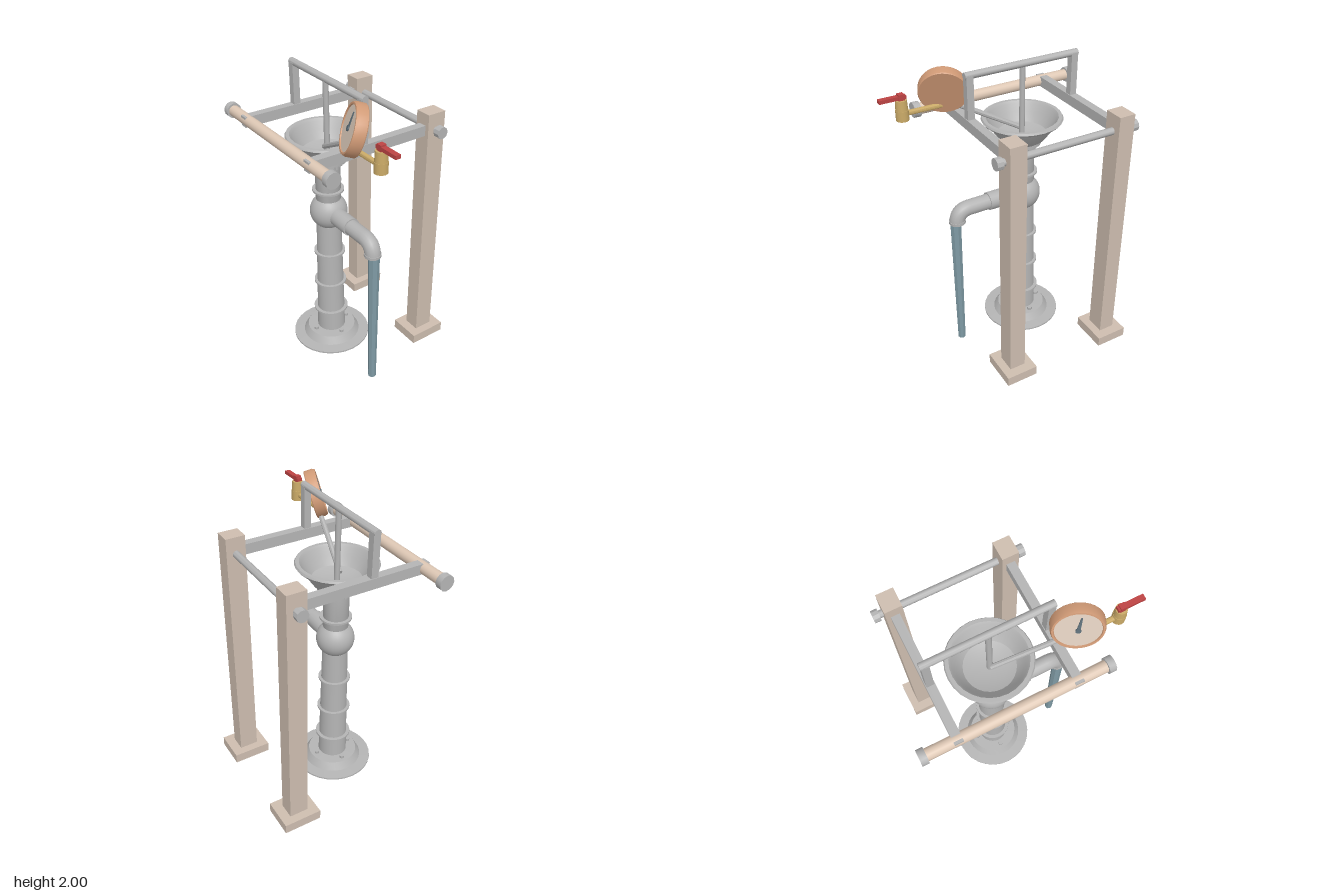
import * as THREE from 'three';
import { toCreasedNormals } from 'three/addons/utils/BufferGeometryUtils.js';

const V = (x, y, z) => new THREE.Vector3(x, y, z);

function makeMaterial(name, color, extra = {}) {
  const m = new THREE.MeshStandardMaterial({ color, ...extra });
  m.name = name;
  return m;
}

export function createModel() {
  const root = new THREE.Group();
  root.name = 'waterPump';
  const metal = makeMaterial('grey metal', 0xb4b4b4, { side: THREE.DoubleSide });
  const wood = makeMaterial('pale wood', 0xcdbdaf);
  const roller = makeMaterial('roller wood', 0xdec8b5);
  const copper = makeMaterial('copper', 0xd09a76);
  const dial = makeMaterial('dial face', 0xdccbbb);
  const brass = makeMaterial('brass', 0xcbab68);
  const red = makeMaterial('red paint', 0xbd4444);
  const hoseBlue = makeMaterial('hose blue', 0x7f9aa4);
  const dark = makeMaterial('needle slate', 0x5c6c76);

  const add = (name, geo, mat, pos = [0, 0, 0], parent = root) => {
    const mesh = new THREE.Mesh(geo, mat);
    mesh.name = name;
    mesh.position.set(...pos);
    parent.add(mesh);
    return mesh;
  };
  const crease = (geo, angle = 0.6) => toCreasedNormals(geo, angle);
  const box = (name, size, pos, mat, parent) => add(name, new THREE.BoxGeometry(...size), mat, pos, parent);
  const lathe = (name, pts, mat, pos, parent, seg = 28) =>
    add(name, crease(new THREE.LatheGeometry(pts.map(p => new THREE.Vector2(...p)), seg)), mat, pos, parent);
  const cyl = (name, r0, r1, h, pos, mat, parent, seg = 16) =>
    add(name, new THREE.CylinderGeometry(r1, r0, h, seg), mat, pos, parent);
  // Cylinder running between two points
  const rod = (name, a, b, r, mat, seg = 12, parent = root) => {
    const d = b.clone().sub(a);
    const geo = crease(new THREE.CylinderGeometry(r, r, d.length(), seg));
    const mesh = add(name, geo, mat, a.clone().add(b).multiplyScalar(0.5).toArray(), parent);
    mesh.quaternion.setFromUnitVectors(V(0, 1, 0), d.normalize());
    return mesh;
  };

  // Posts with feet, side arms and handle uprights
  const sides = [['right', -0.5], ['left', 0.222]];
  for (const [side, x] of sides) {
    box(side + 'Post', [0.107, 1.7, 0.125], [x, 0.915, -0.387], wood);
    box(side + 'Foot', [0.215, 0.066, 0.252], [x, 0.098, -0.387], wood);
    box(side + 'Arm', [0.054, 0.066, 0.87], [x, 1.657, 0.055], metal);
    box(side + 'Upright', [0.045, 0.28, 0.045], [x, 1.82, 0.117], metal);
  }
  rod('handleBar', V(-0.527, 1.958, 0.117), V(0.249, 1.958, 0.117), 0.022, metal);

  // Rear axle and front roller, each with end caps
  rod('rearAxle', V(-0.6, 1.657, -0.387), V(0.32, 1.657, -0.387), 0.023, metal);
  rod('axleCap', V(-0.615, 1.657, -0.387), V(-0.577, 1.657, -0.387), 0.038, metal, 10);
  rod('axleCap', V(0.295, 1.657, -0.387), V(0.335, 1.657, -0.387), 0.038, metal, 10);
  rod('frontRoller', V(-0.69, 1.657, 0.46), V(0.41, 1.657, 0.46), 0.036, roller, 16);
  rod('rollerCap', V(-0.722, 1.657, 0.46), V(-0.68, 1.657, 0.46), 0.049, metal, 12);
  rod('rollerCap', V(0.4, 1.657, 0.46), V(0.443, 1.657, 0.46), 0.049, metal, 12);

  // Pump, built around its own vertical axis
  const pump = new THREE.Group();
  pump.name = 'pump';
  pump.position.set(-0.14, 0, 0.12);
  root.add(pump);
  lathe('baseFlange', [[0.185, 0.065], [0.265, 0.065], [0.265, 0.076], [0.195, 0.08], [0.165, 0.13], [0.09, 0.132]],
    metal, [0, 0, 0], pump);
  const bulb = [];
  for (let i = 0; i <= 12; i++) {
    const t = -0.855 + (1.71 * i) / 12;
    bulb.push([0.122 * Math.cos(t), 1.075 + 0.122 * Math.sin(t)]);
  }
  lathe('column', [[0.097, 0.13], [0.082, 0.983], ...bulb, [0.081, 1.17], [0.081, 1.43]], metal, [0, 0, 0], pump);
  for (const [y, r] of [[0.29, 0.117], [0.52, 0.109], [0.763, 0.104], [1.233, 0.102]])
    cyl('columnRing', r, r, 0.012, [0, y, 0], metal, pump, 28);
  cyl('neckCollar', 0.1, 0.1, 0.03, [0, 1.432, 0], metal, pump, 24);
  cyl('neckFlange', 0.122, 0.122, 0.022, [0, 1.451, 0], metal, pump, 24);
  for (let i = 0; i < 4; i++) {
    const a = (i * Math.PI) / 2, c = Math.cos(a), s = Math.sin(a);
    cyl('baseBolt', 0.017, 0.017, 0.022, [c * 0.127, 0.138, s * 0.127], metal, pump, 6);
    cyl('neckBolt', 0.016, 0.016, 0.03, [c * 0.1, 1.43, s * 0.1], metal, pump, 6);
  }

  // Funnel: outer wall, rolled rim and inner bowl
  lathe('funnel', [[0, 1.462], [0.122, 1.462], [0.15, 1.482], [0.222, 1.585], [0.246, 1.594], [0.257, 1.608],
    [0.25, 1.62], [0.228, 1.62], [0.216, 1.605], [0.195, 1.56], [0.155, 1.505], [0.1, 1.486], [0, 1.482]],
    metal, [0, 0, 0], pump);
  cyl('pumpRod', 0.018, 0.018, 0.46, [0, 1.72, 0], metal, pump, 10);

  // Spout with elbow and hanging hose
  rod('spoutSleeve', V(-0.08, 1.072, 0.12), V(0.115, 1.072, 0.12), 0.059, metal, 20);
  const bend = new THREE.CurvePath();
  bend.add(new THREE.LineCurve3(V(0.05, 1.072, 0.12), V(0.25, 1.072, 0.12)));
  bend.add(new THREE.CubicBezierCurve3(V(0.25, 1.072, 0.12), V(0.3, 1.072, 0.12), V(0.333, 1.05, 0.12), V(0.338, 0.995, 0.12)));
  add('spoutElbow', new THREE.TubeGeometry(bend, 28, 0.051, 16), metal);
  rod('spoutLip', V(0.338, 1.004, 0.12), V(0.337, 0.985, 0.12), 0.054, metal, 20);
  add('hose', crease(new THREE.CylinderGeometry(0.037, 0.027, 0.99, 8), 0.3), hoseBlue, [0.35, 0.495, 0.12]);

  // Lever from the pump rod to the gauge
  rod('gaugeLever', V(-0.14, 1.535, 0.14), V(0.29, 1.765, 0.245), 0.016, metal, 8);

  // Tilted round gauge
  const gauge = new THREE.Group();
  gauge.name = 'gauge';
  gauge.position.set(0.322, 1.847, 0.247);
  gauge.lookAt(gauge.position.clone().add(V(-0.42, 0.3, 0.86)));
  root.add(gauge);
  const shell = lathe('gaugeCase', [[0, -0.035], [0.146, -0.035], [0.15, -0.03], [0.15, 0.018], [0.143, 0.035],
    [0.132, 0.035], [0.129, 0.026], [0, 0.026]], copper, [0, 0, 0], gauge, 32);
  shell.rotation.x = Math.PI / 2;
  add('gaugeFace', new THREE.CircleGeometry(0.129, 32), dial, [0, 0, 0.0285], gauge);
  const pointer = new THREE.Shape([[-0.012, -0.01], [0.012, -0.01], [0.004, 0.1], [-0.004, 0.1]]
    .map(p => new THREE.Vector2(...p)));
  const needle = add('needle', new THREE.ExtrudeGeometry(pointer, { depth: 0.005, bevelEnabled: false }),
    dark, [0, 0, 0.03], gauge);
  needle.rotation.z = -0.12;
  const hub = cyl('needleHub', 0.016, 0.016, 0.009, [0, 0, 0.034], dark, gauge, 12);
  hub.rotation.x = Math.PI / 2;

  // Brass valve with red lever
  rod('valvePipe', V(0.33, 1.746, 0.262), V(0.57, 1.746, 0.262), 0.016, brass);
  cyl('valveBase', 0.039, 0.039, 0.065, [0.584, 1.742, 0.262], brass);
  cyl('valveBody', 0.037, 0.034, 0.065, [0.584, 1.803, 0.262], brass);
  box('valveStem', [0.036, 0.038, 0.036], [0.584, 1.853, 0.262], red);
  box('valveLever', [0.165, 0.022, 0.033], [0.637, 1.852, 0.262], red);

  return root;
}
